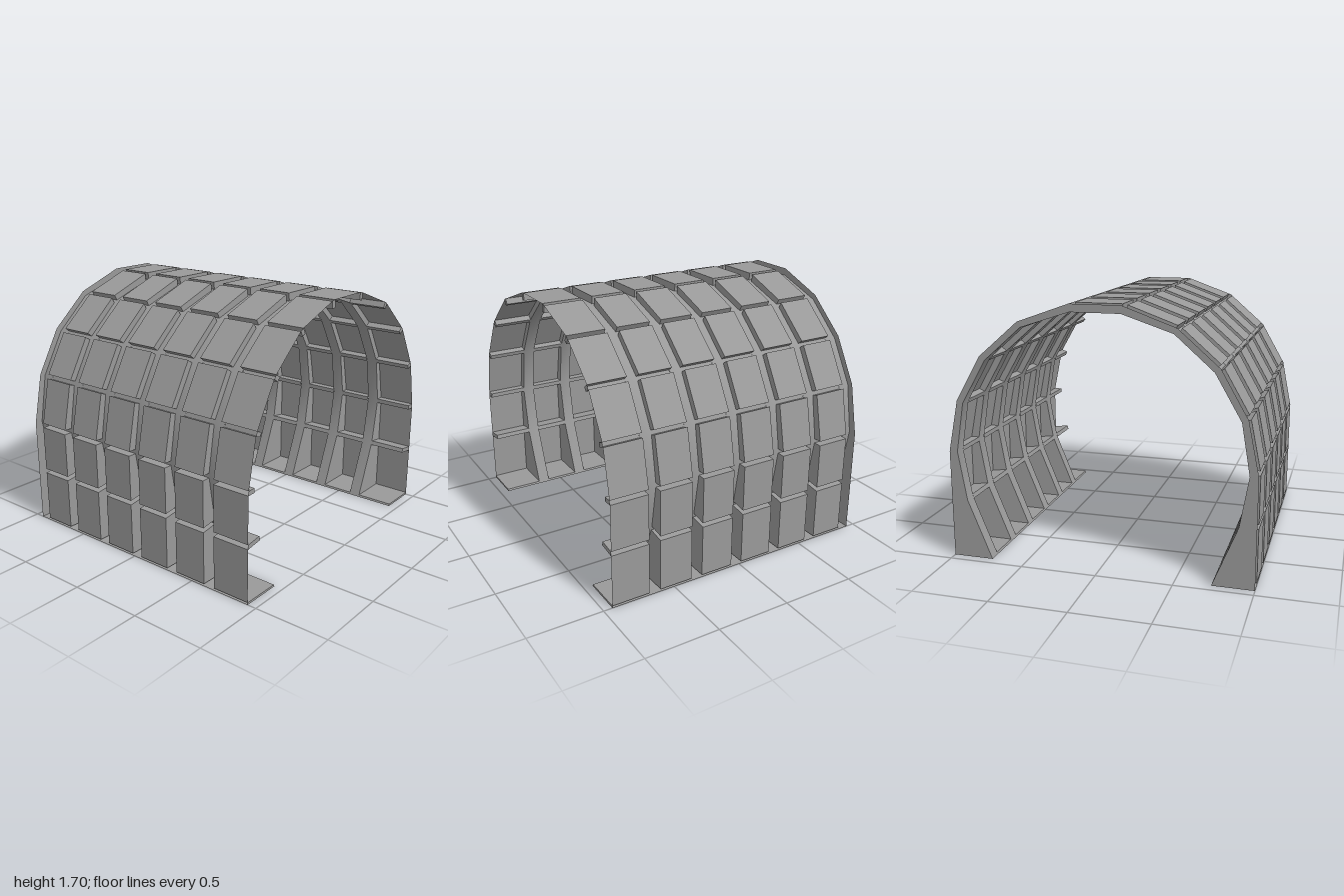
import * as THREE from 'three';

// Joint positions up the left half of the arch, from foot to crown
const OUTER_HALF = [[1, 0], [1, 0.38], [1, 0.72], [0.93, 1.06], [0.76, 1.355], [0.5, 1.58], [0.165, 1.7]];
const INNER_HALF = [[0.73, 0], [0.89, 0.395], [0.945, 0.72], [0.89, 1.045], [0.725, 1.33], [0.48, 1.545], [0.16, 1.65]];
const FRONT = 0.94, BACK = -0.94, PITCH = 0.308, GROOVE = 0.08, GAP = 0.015;
const ROWS = 6;
const COLOR = 0x999999;

const mirror = half => [...half, ...half.slice().reverse().map(([x, y]) => [-x, y])];

// Splits every joint in two, one point on each side of the narrow gap
function splitJoints(points) {
  const toward = (p, q) => {
    const d = Math.hypot(q[0] - p[0], q[1] - p[1]);
    return [p[0] + (q[0] - p[0]) * GAP / d, p[1] + (q[1] - p[1]) * GAP / d];
  };
  return points.map((p, i) => ({
    before: i > 0 ? toward(p, points[i - 1]) : p,
    after: i < points.length - 1 ? toward(p, points[i + 1]) : p,
  }));
}

// Flat-sided sheet from a list of four-cornered faces
function sheet(quads, name, material) {
  const positions = [];
  for (const [a, b, c, d] of quads) positions.push(...a, ...b, ...c, ...a, ...c, ...d);
  const geometry = new THREE.BufferGeometry();
  geometry.setAttribute('position', new THREE.Float32BufferAttribute(positions, 3));
  geometry.computeVertexNormals();
  const mesh = new THREE.Mesh(geometry, material);
  mesh.name = name;
  return mesh;
}

// Smooth strip following a profile from a front depth to a back depth
function strip(profile, front, back, name, material) {
  const positions = [], index = [];
  profile.forEach(([x, y], i) => {
    positions.push(x, y, front, x, y, back);
    if (i) {
      const k = 2 * i;
      index.push(k - 2, k - 1, k, k - 1, k + 1, k);
    }
  });
  const geometry = new THREE.BufferGeometry();
  geometry.setAttribute('position', new THREE.Float32BufferAttribute(positions, 3));
  geometry.setIndex(index);
  geometry.computeVertexNormals();
  const mesh = new THREE.Mesh(geometry, material);
  mesh.name = name;
  return mesh;
}

export function createModel() {
  const group = new THREE.Group();
  group.name = 'archedTunnel';
  const flat = new THREE.MeshStandardMaterial({ color: COLOR, side: THREE.DoubleSide, flatShading: true });
  const smooth = new THREE.MeshStandardMaterial({ color: COLOR, side: THREE.DoubleSide });

  const outerPoints = mirror(OUTER_HALF), innerPoints = mirror(INNER_HALF);
  const outer = splitJoints(outerPoints), inner = splitJoints(innerPoints);
  const segments = outerPoints.length - 1;
  const at = (p, z) => [p[0], p[1], z];
  const along = (p, q, z0, z1) => [at(p, z0), at(q, z0), at(q, z1), at(p, z1)];
  const across = (o0, o1, i1, i0, z) => [at(o0, z), at(o1, z), at(i1, z), at(i0, z)];

  for (let row = 0; row < ROWS; row++) {
    const back = FRONT - 0.26 - row * PITCH;
    const front = row === 0 ? FRONT : back + PITCH - GROOVE;
    const panels = [], walls = [];

    for (let s = 0; s < segments; s++) {
      const o0 = outer[s].after, o1 = outer[s + 1].before;
      const i0 = inner[s].after, i1 = inner[s + 1].before;
      panels.push(along(o0, o1, front, back));
      // side walls of the pan; the front row stays open at the mouth
      walls.push(along(i0, o0, front, back), along(o1, i1, front, back));
      walls.push(across(o0, o1, i1, i0, back));
      if (row > 0) walls.push(across(o0, o1, i1, i0, front));
    }
    // narrow inner ledges joining neighbouring pans
    const ledges = inner.map(j => along(j.before, j.after, front, back));
    group.add(sheet(panels, 'outerPanels', flat));
    group.add(sheet(walls, 'panelWalls', flat));
    group.add(sheet(ledges, 'jointLedges', flat));

    // Curved inner rib behind this row
    const ribBack = row === ROWS - 1 ? BACK : back - GROOVE;
    group.add(strip(innerPoints, back, ribBack, 'innerRib', smooth));
  }

  // Caps closing the joint gaps at the mouth
  const caps = outer.flatMap((o, j) => [
    across(o.before, outerPoints[j], innerPoints[j], inner[j].before, FRONT),
    across(outerPoints[j], o.after, inner[j].after, innerPoints[j], FRONT),
  ]);
  group.add(sheet(caps, 'mouthCaps', flat));

  // Closing ring at the back
  const ring = [];
  for (let s = 0; s < segments; s++) {
    ring.push(across(outerPoints[s], outerPoints[s + 1], innerPoints[s + 1], innerPoints[s], BACK));
  }
  group.add(sheet(ring, 'backRing', flat));

  // Soles under the two feet
  group.add(sheet([along(innerPoints[0], outerPoints[0], FRONT, BACK)], 'leftSole', flat));
  group.add(sheet([along(outerPoints[segments], innerPoints[segments], FRONT, BACK)], 'rightSole', flat));
  return group;
}
